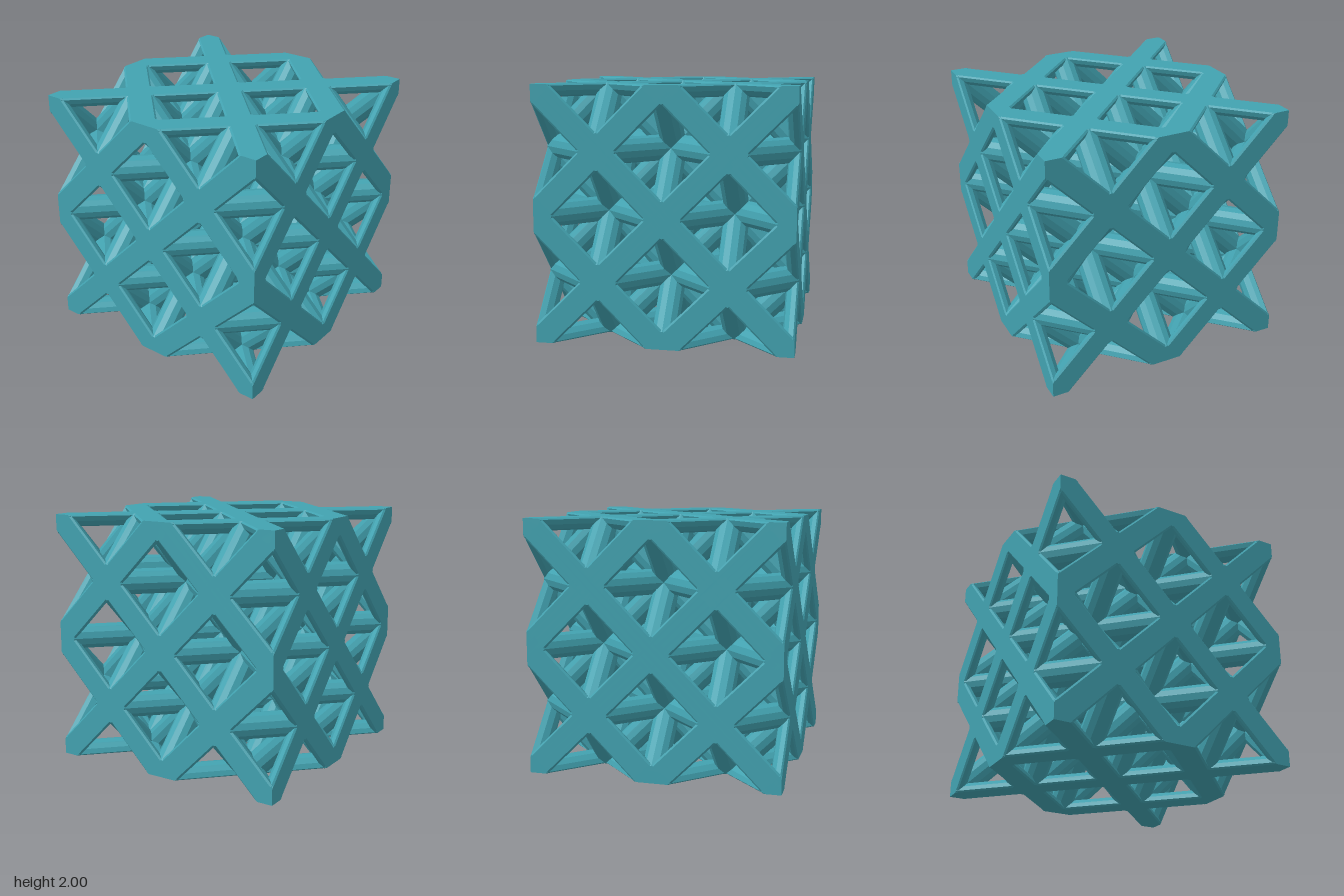
import * as THREE from 'three';

const RADIUS = 0.101; // strut radius
const SIDES = 12;
const PITCH = 0.5;    // spacing of the node grid
const BEVEL = 0.012;  // small chamfer along the flat outer faces

// A round strut along start + t * dir, trimmed flush by the cube from -1 to 1.
// dir has two components of +-1; axis is the index of its zero component.
function strutGeometry(start, end, dir, axis) {
  const up = new THREE.Vector3().setComponent(axis, 1);
  const side = up.clone().cross(dir).normalize();
  const near = [], far = [];
  const level = start.getComponent(axis);
  const onFace = Math.abs(level) > 0.99;

  for (let j = 0; j < SIDES; j++) {
    const a = (j / SIDES) * Math.PI * 2;
    const p = start.clone()
      .addScaledVector(side, RADIUS * Math.cos(a))
      .addScaledVector(up, RADIUS * Math.sin(a));
    // flatten the half that would stick out of an outer face
    let h = THREE.MathUtils.clamp(p.getComponent(axis), -1, 1);
    if (onFace && j % (SIDES / 2) === 0) h = Math.sign(level) * (1 - BEVEL);
    p.setComponent(axis, h);
    // run this edge of the strut exactly from wall to wall
    let t0 = -Infinity, t1 = Infinity;
    for (let i = 0; i < 3; i++) {
      if (i === axis) continue;
      const d = dir.getComponent(i), c = p.getComponent(i);
      t0 = Math.max(t0, -1 - c * d);
      t1 = Math.min(t1, 1 - c * d);
    }
    near.push(p.clone().addScaledVector(dir, t0));
    far.push(p.clone().addScaledVector(dir, t1));
  }

  const points = [];
  for (let j = 0; j < SIDES; j++) {
    const k = (j + 1) % SIDES;
    points.push(near[j], near[k], far[k], near[j], far[k], far[j]); // side
    points.push(end, far[j], far[k], start, near[k], near[j]);      // end caps
  }
  const geometry = new THREE.BufferGeometry().setFromPoints(points);
  geometry.computeVertexNormals();
  return geometry;
}

export function createModel() {
  const model = new THREE.Group();
  model.name = 'latticeCube';
  const teal = new THREE.MeshStandardMaterial({ color: 0x42a2b0, flatShading: true });
  teal.name = 'teal';

  const faceStruts = new THREE.Group();
  faceStruts.name = 'faceStruts';
  const coreStruts = new THREE.Group();
  coreStruts.name = 'coreStruts';
  model.add(faceStruts, coreStruts);

  const inside = (p) => Math.max(Math.abs(p.x), Math.abs(p.y), Math.abs(p.z)) < 2.01;

  // Every diagonal line through the face-centred grid becomes one long strut
  for (let axis = 0; axis < 3; axis++) {
    for (const sign of [1, -1]) {
      const dir = new THREE.Vector3()
        .setComponent((axis + 1) % 3, 1)
        .setComponent((axis + 2) % 3, sign);
      for (let x = -2; x <= 2; x++) for (let y = -2; y <= 2; y++) for (let z = -2; z <= 2; z++) {
        if ((x + y + z) % 2 !== 0) continue;
        const start = new THREE.Vector3(x, y, z);
        if (inside(start.clone().sub(dir))) continue; // not the first node of its line
        const end = start.clone();
        while (inside(end.clone().add(dir))) end.add(dir);
        if (end.equals(start)) continue;
        const onFace = Math.abs(start.getComponent(axis)) === 2;
        start.multiplyScalar(PITCH);
        end.multiplyScalar(PITCH);
        const strut = new THREE.Mesh(strutGeometry(start, end, dir, axis), teal);
        strut.name = onFace ? 'faceStrut' : 'coreStrut';
        (onFace ? faceStruts : coreStruts).add(strut);
      }
    }
  }

  model.position.y = 1; // stand on the ground
  return model;
}
